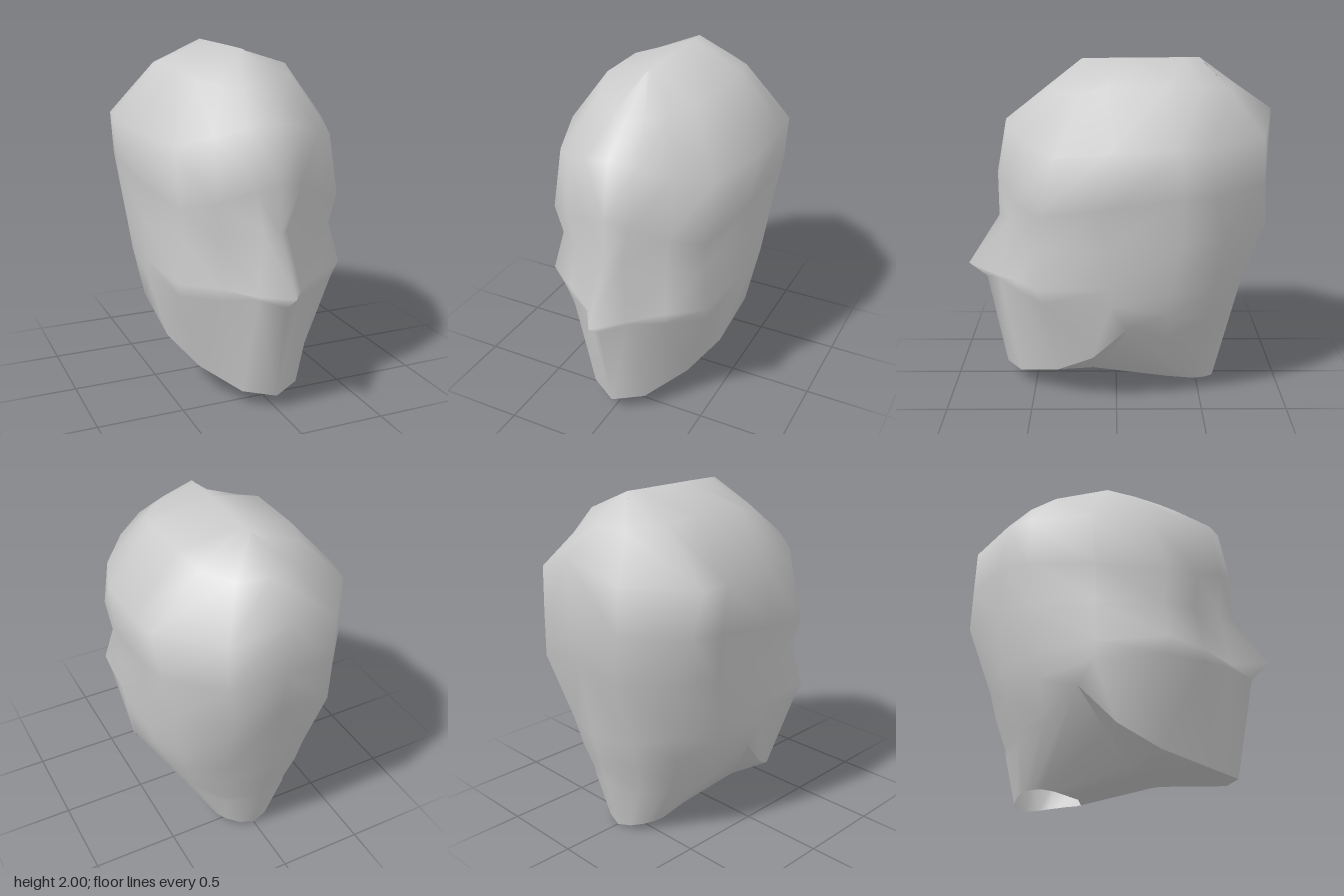
import * as THREE from 'three';
import { mergeVertices } from 'three/addons/utils/BufferGeometryUtils.js';

const COLUMNS = 9; // from the front centre line, round the left side, to the back centre line
const JAW_CORNER = 4; // column of the jaw corner below the ear

// Spread a short list of values evenly over the columns
function spread(list) {
  return Array.from({ length: COLUMNS }, (_, c) => {
    const t = (c / (COLUMNS - 1)) * (list.length - 1);
    const i = Math.min(Math.floor(t), list.length - 2);
    return THREE.MathUtils.lerp(list[i], list[i + 1], t - i);
  });
}

// Half a cross-section: widths, heights and depths from front to back
function section(xs, ys, zs) {
  const [x, y, z] = [xs, ys, zs].map(spread);
  return x.map((v, c) => new THREE.Vector3(v, y[c], z[c]));
}

// Skin strips between half sections, with their mirror image, into one smooth surface
function skin(strips) {
  const positions = [];
  const addTriangle = (a, b, c) => {
    const area = b.clone().sub(a).cross(c.clone().sub(a)).length();
    if (area < 1e-6) return;
    for (const p of [a, b, c]) positions.push(p.x, p.y, p.z);
    for (const p of [a, c, b]) positions.push(-p.x, p.y, p.z);
  };
  for (const [upper, lower, from = 0, to = COLUMNS - 1] of strips) {
    for (let c = from; c < to; c++) {
      addTriangle(upper[c], lower[c], upper[c + 1]);
      addTriangle(upper[c + 1], lower[c], lower[c + 1]);
    }
  }
  const geometry = new THREE.BufferGeometry();
  geometry.setAttribute('position', new THREE.Float32BufferAttribute(positions, 3));
  const merged = mergeVertices(geometry, 1e-4);
  merged.computeVertexNormals();
  return merged;
}

export function createModel() {
  // Cranium
  const crown = section([0, 0], [1.99, 2], [0.2, 0.2, 0.16, 0.08, -0.02, -0.2, -0.4, -0.48, -0.48]);
  const dome = section(
    [0, 0.09, 0.19, 0.29, 0.34, 0.34, 0.31, 0.17, 0],
    [1.82, 1.82, 1.82, 1.835, 1.885, 1.89, 1.865, 1.84, 1.85],
    [0.42, 0.4, 0.32, 0.2, 0.04, -0.3, -0.48, -0.64, -0.69]);
  const forehead = section(
    [0, 0.15, 0.32, 0.48, 0.6, 0.618, 0.59, 0.32, 0],
    [1.64, 1.62, 1.56, 1.5, 1.55, 1.575, 1.57, 1.59, 1.7],
    [0.65, 0.63, 0.53, 0.36, 0.03, -0.34, -0.5, -0.83, -0.91]);

  // Face
  const brow = section(
    [0, 0.13, 0.32, 0.485, 0.575, 0.59, 0.56, 0.31, 0],
    [1.32, 1.29, 1.21, 1.17, 1.24, 1.3, 1.3, 1.33, 1.36],
    [0.71, 0.68, 0.58, 0.45, 0.05, -0.36, -0.55, -0.845, -0.88]);
  const eyes = section(
    [0, 0.07, 0.29, 0.46, 0.55, 0.56, 0.5, 0.29, 0],
    [1.05, 1.04, 1, 0.98, 1, 1.02, 1.05, 1.08, 1.1],
    [0.71, 0.645, 0.55, 0.41, 0.05, -0.36, -0.6, -0.862, -0.86]);
  const noseTip = section(
    [0, 0.13, 0.31, 0.505, 0.545, 0.53, 0.45, 0.26, 0],
    [0.74, 0.705, 0.74, 0.75, 0.76, 0.74, 0.7, 0.65, 0.64],
    [0.91, 0.71, 0.595, 0.46, 0.05, -0.3, -0.55, -0.71, -0.78]);
  const noseBase = section(
    [0, 0.13, 0.3, 0.485, 0.54, 0.5, 0.41, 0.24, 0],
    [0.655, 0.685, 0.67, 0.66, 0.66, 0.6, 0.55, 0.48, 0.46],
    [0.8, 0.705, 0.59, 0.42, 0.03, -0.3, -0.53, -0.67, -0.735]);
  const jaw = section(
    [0, 0.17, 0.34, 0.46, 0.535, 0.42, 0.34, 0.2, 0],
    [0.08, 0.095, 0.18, 0.31, 0.52, 0.42, 0.35, 0.31, 0.3],
    [0.69, 0.59, 0.35, 0.14, -0.06, -0.3, -0.49, -0.62, -0.695]);

  // Neck, joined to the jaw corner and open below
  const throat = section(
    [0, 0.12, 0.23, 0.38, 0.535, 0.4, 0.32, 0.19, 0],
    [0.11, 0.115, 0.14, 0.32, 0.52, 0.38, 0.31, 0.27, 0.26],
    [0.15, 0.15, 0.14, 0.04, -0.06, -0.31, -0.49, -0.62, -0.685]);
  const neckRim = section(
    [0, 0.1, 0.17, 0.2, 0.21, 0.2, 0.16, 0.09, 0],
    [0.04, 0.035, 0.05, 0.06, 0.06, 0.055, 0.04, 0.02, 0],
    [-0.24, -0.26, -0.32, -0.38, -0.44, -0.5, -0.55, -0.6, -0.62]);

  const material = new THREE.MeshStandardMaterial({ color: 0xcccccc, side: THREE.DoubleSide });
  const model = new THREE.Group();
  model.name = 'headBust';
  const addPart = (name, strips) => {
    const mesh = new THREE.Mesh(skin(strips), material);
    mesh.name = name;
    model.add(mesh);
  };

  // Head and neck run on behind the jaw corner; in front of it a sharp-edged underside closes the jaw
  const rows = [crown, dome, forehead, brow, eyes, noseTip, noseBase, jaw];
  const headStrips = rows.slice(1).map((row, i) => [rows[i], row]);
  addPart('headAndNeck', [...headStrips, [jaw, throat, JAW_CORNER], [throat, neckRim]]);
  addPart('jawUnderside', [[jaw, throat, 0, JAW_CORNER]]);
  return model;
}
